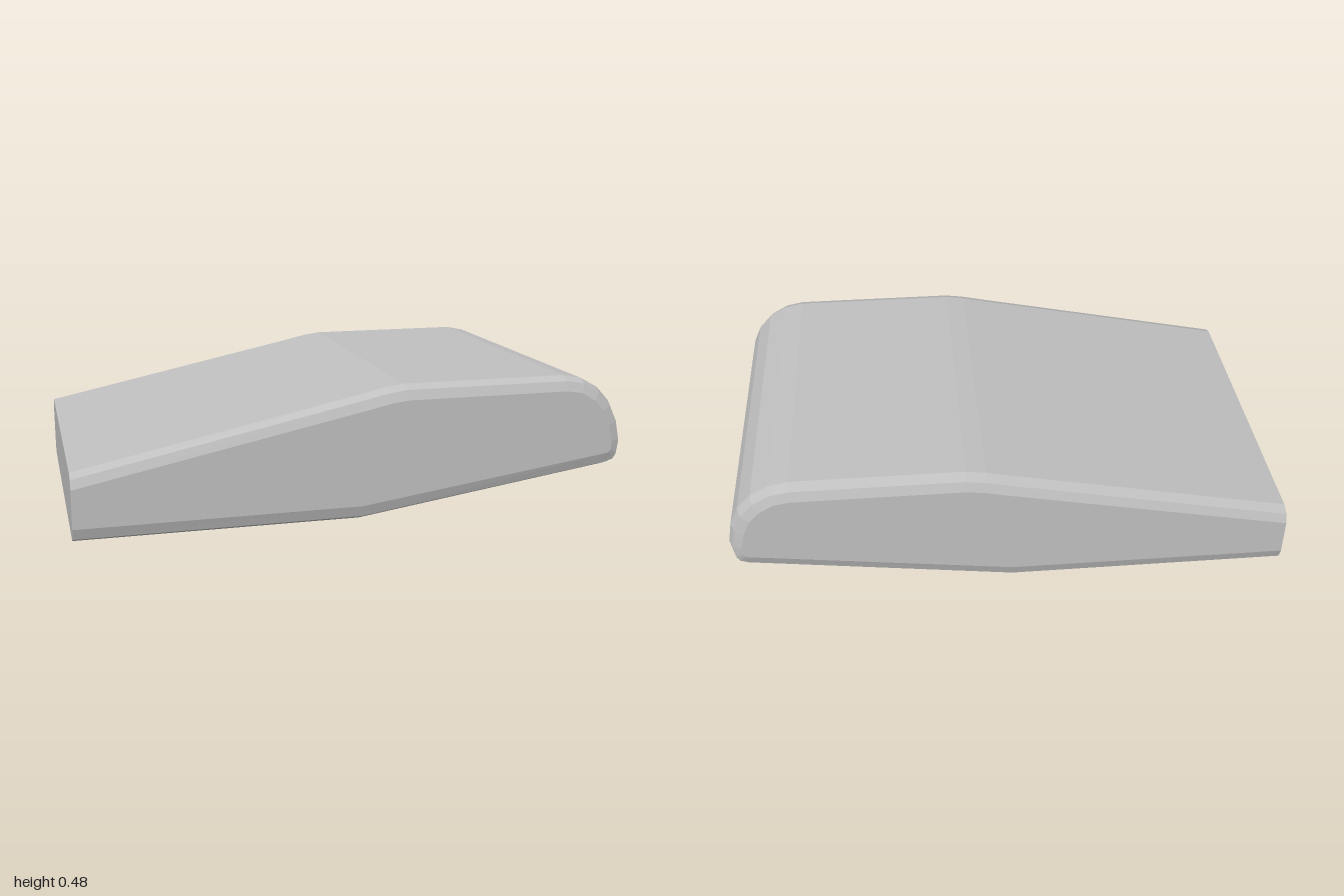
import * as THREE from 'three';

// Outline seen from the front: outer x, y, then the inset x, y at the side rim
const PROFILE = [
  [-1, 0.003, -1, 0.058], [0, 0.003, 0, 0.06], [0.94, 0.138, 0.935, 0.19],
  [0.975, 0.15, 0.945, 0.195], [0.99, 0.172, 0.95, 0.205], [1, 0.23, 0.952, 0.235],
  [0.985, 0.31, 0.938, 0.295], [0.955, 0.375, 0.913, 0.35], [0.905, 0.43, 0.875, 0.39],
  [0.84, 0.466, 0.825, 0.42], [0.77, 0.48, 0.765, 0.43], [0.16, 0.48, 0.165, 0.43],
  [0.09, 0.47, 0.1, 0.422], [0, 0.45, 0.01, 0.402], [-1, 0.24, -1, 0.193],
];
// Cross-sections over the width: z and how far the outline is inset
const RINGS = [[-0.638, 1], [-0.625, 0.3], [-0.587, 0], [0.587, 0], [0.625, 0.3], [0.638, 1]];

function createBodyGeometry() {
  const n = PROFILE.length;
  const positions = [];
  const index = [];
  for (const [z, t] of RINGS) {
    for (const [x, y, ix, iy] of PROFILE) {
      positions.push(x + (ix - x) * t, y + (iy - y) * t, z);
    }
  }
  // Skin between neighbouring rings, including the flat end
  for (let r = 0; r < RINGS.length - 1; r++) {
    for (let i = 0; i < n; i++) {
      const j = (i + 1) % n;
      const a = r * n + i, b = r * n + j, c = a + n, d = b + n;
      index.push(a, b, d, a, d, c);
    }
  }
  // Flat side faces
  const last = (RINGS.length - 1) * n;
  for (let i = 1; i < n - 1; i++) {
    index.push(0, i + 1, i, last, last + i, last + i + 1);
  }
  const indexed = new THREE.BufferGeometry();
  indexed.setAttribute('position', new THREE.Float32BufferAttribute(positions, 3));
  indexed.setIndex(index);
  const geometry = indexed.toNonIndexed();
  geometry.computeVertexNormals();
  return geometry;
}

export function createModel() {
  const grey = new THREE.MeshStandardMaterial({ color: 0xc0c0c0 });
  grey.name = 'light grey';
  grey.flatShading = true;

  const model = new THREE.Group();
  model.name = 'wedgeBlock';
  const body = new THREE.Mesh(createBodyGeometry(), grey);
  body.name = 'body';
  model.add(body);
  return model;
}
